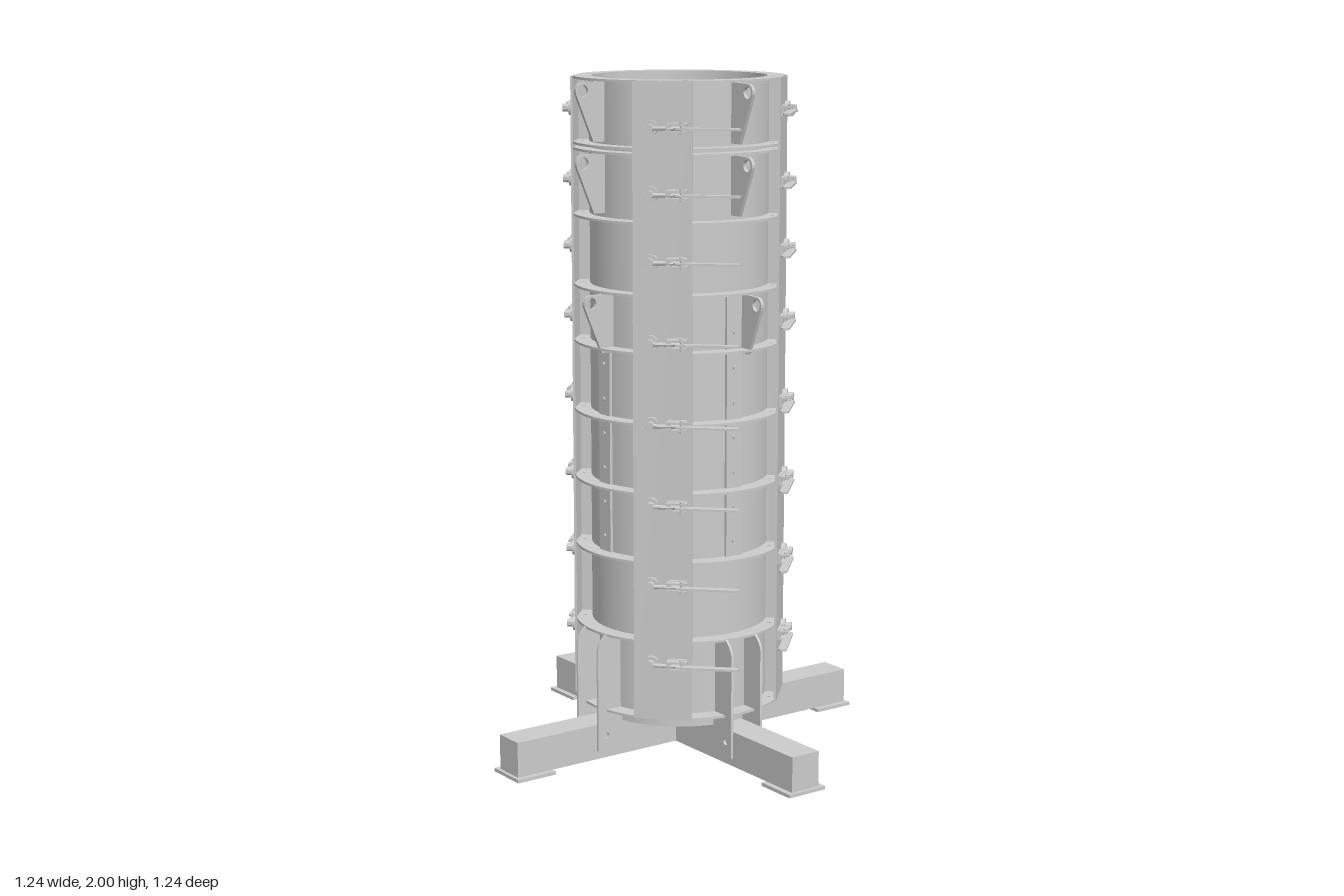
import * as THREE from 'three';
import { toCreasedNormals } from 'three/addons/utils/BufferGeometryUtils.js';

const grey = new THREE.MeshStandardMaterial({ color: 0xcccccc, side: THREE.DoubleSide });

function add(parent, name, geo, x = 0, y = 0, z = 0) {
  const m = new THREE.Mesh(geo, grey);
  m.name = name;
  m.position.set(x, y, z);
  parent.add(m);
  return m;
}
const box = (w, h, d) => new THREE.BoxGeometry(w, h, d);
const smooth = (g) => toCreasedNormals(g, 0.6);

// Upright plate drawn as (radius, height), standing along +z with thickness in x
function radialPlate(shape, t) {
  const g = new THREE.ExtrudeGeometry(shape, { depth: t, bevelEnabled: false, curveSegments: 10 });
  g.translate(0, 0, -t / 2).rotateY(-Math.PI / 2);
  return smooth(g);
}
function circleHole(shape, x, y, r) {
  const p = new THREE.Path();
  p.absarc(x, y, r, 0, Math.PI * 2, true);
  shape.holes.push(p);
}

// Stiffening ring, trimmed flat where the four corner plates sit
function ringGeometry(t) {
  const s = new THREE.Shape();
  const cut = 0.22;
  for (let k = 0; k < 4; k++) {
    const c = k * Math.PI / 2;
    s.absarc(0, 0, 0.31, c - Math.PI / 4 + cut, c + Math.PI / 4 - cut, false);
  }
  s.closePath();
  circleHole(s, 0, 0, 0.256);
  for (let k = 0; k < 4; k++) for (const d of [-0.21, 0.21]) {
    const a = Math.PI / 4 + k * Math.PI / 2 + d;
    circleHole(s, 0.284 * Math.cos(a), 0.284 * Math.sin(a), 0.006);
  }
  const g = new THREE.ExtrudeGeometry(s, { depth: t, bevelEnabled: false, curveSegments: 16 });
  return smooth(g.rotateX(Math.PI / 2));
}

// Lifting ear, measured down from its top ring
function earGeometry() {
  const s = new THREE.Shape();
  s.moveTo(0.256, -0.18);
  s.lineTo(0.3, -0.18);
  s.lineTo(0.357, -0.046);
  s.absarc(0.335, -0.035, 0.024, -0.46, Math.PI / 2, false);
  s.lineTo(0.256, -0.008);
  s.closePath();
  circleHole(s, 0.335, -0.035, 0.017);
  return radialPlate(s, 0.01);
}

// Foot bracket with chamfered top and a bolt hole beside the beam
function bracketGeometry() {
  const s = new THREE.Shape();
  s.moveTo(0.25, 0.035);
  s.lineTo(0.335, 0.035);
  s.lineTo(0.335, 0.345);
  s.quadraticCurveTo(0.33, 0.37, 0.305, 0.388);
  s.lineTo(0.25, 0.388);
  s.closePath();
  circleHole(s, 0.308, 0.08, 0.01);
  return radialPlate(s, 0.008);
}

// Inner former: mitred at the centre, wider and taller at the wall
function formerGeometry() {
  const s = new THREE.Shape([[0, 0.006], [0.045, 0.052], [0.059, 0.248], [-0.059, 0.248], [-0.045, 0.052]]
    .map(([x, z]) => new THREE.Vector2(x, z)));
  const g = new THREE.ExtrudeGeometry(s, { depth: 1, bevelEnabled: false }).rotateX(Math.PI / 2);
  const p = g.attributes.position;
  for (let i = 0; i < p.count; i++) {
    const slope = 0.6 * (0.248 - p.getZ(i));
    p.setY(i, p.getY(i) > -0.5 ? 1.4 - slope : 0.62 + slope);
  }
  g.computeVertexNormals();
  return g;
}

// Toggle clamp: z points away from the corner plate, s picks the handle direction
function makeClamp(s) {
  const c = new THREE.Group();
  c.name = 'clamp';
  const disc = (r, h) => smooth(new THREE.CylinderGeometry(r, r, h, 16).rotateX(Math.PI / 2));
  add(c, 'clampBoss', disc(0.022, 0.014), -0.033 * s, 0, 0.311);
  add(c, 'clampPin', disc(0.012, 0.03), -0.033 * s, 0, 0.322);
  add(c, 'clampBase', box(0.055, 0.03, 0.01), 0.043 * s, 0, 0.309);
  add(c, 'clampCatch', box(0.014, 0.026, 0.028), 0.022 * s, 0, 0.322);
  for (const y of [-0.011, 0.011]) add(c, 'clampCheek', box(0.06, 0.005, 0.026), 0.045 * s, y, 0.325);
  const rod = new THREE.CylinderGeometry(0.006, 0.006, 0.1, 8).rotateZ(Math.PI / 2);
  add(c, 'clampRod', smooth(rod), 0.005 * s, 0, 0.331);
  const pivot = new THREE.CylinderGeometry(0.007, 0.007, 0.034, 10);
  add(c, 'clampPivot', smooth(pivot), 0.06 * s, 0, 0.33);
  // flat handle with rounded ends
  add(c, 'clampHandle', box(0.165, 0.006, 0.024), 0.132 * s, 0, 0.338);
  for (const t of [0.0495, 0.2145]) {
    add(c, 'handleEnd', smooth(new THREE.CylinderGeometry(0.012, 0.012, 0.006, 12)), t * s, 0, 0.338);
  }
  return c;
}

export function createModel() {
  const model = new THREE.Group();
  model.name = 'columnMould';

  // Tube wall and closed bottom
  const wall = [[0.254, 0.15], [0.262, 0.15], [0.262, 2], [0.254, 2], [0.254, 0.15]]
    .map(([r, y]) => new THREE.Vector2(r, y));
  add(model, 'tubeWall', smooth(new THREE.LatheGeometry(wall, 64)));
  add(model, 'bottomDisc', smooth(new THREE.CylinderGeometry(0.25, 0.25, 0.04, 64)), 0, 0.135, 0);

  // Stiffening rings
  const ring = ringGeometry(0.007);
  for (const y of [2, 1.813, 1.797, 1.605, 1.4, 1.235, 1.03, 0.828, 0.625, 0.39, 0.16]) {
    add(model, 'stiffeningRing', ring, 0, y, 0);
  }

  // Crossed base beams
  add(model, 'baseBeam', box(1.22, 0.105, 0.096), 0, 0.0625, 0);
  for (const s of [-1, 1]) add(model, 'baseBeam', box(0.096, 0.105, 0.562), 0, 0.0625, 0.329 * s);

  // Four equal sides
  const ear = earGeometry(), bracket = bracketGeometry(), former = formerGeometry();
  const bolt = smooth(new THREE.CylinderGeometry(0.006, 0.006, 0.006, 10).rotateX(Math.PI / 2));
  for (let k = 0; k < 4; k++) {
    const side = new THREE.Group();
    side.name = 'side';
    side.rotation.y = k * Math.PI / 2;
    model.add(side);
    add(side, 'footPad', box(0.13, 0.01, 0.13), 0, 0.005, 0.555);
    for (const s of [-1, 1]) add(side, 'footBracket', bracket, 0.053 * s, 0, 0);
    add(side, 'liftingEar', ear, -0.005, 2, 0);
    add(side, 'liftingEar', ear, -0.005, 1.797, 0);
    add(side, 'liftingEar', ear, 0.03, 1.4, 0);
    add(side, 'innerFormer', former);
    add(side, 'boltStrip', box(0.055, 0.775, 0.012), 0, 1.0125, 0.263);
    for (let i = 0; i < 7; i++) add(side, 'stripBolt', bolt, 0, 0.67 + i * 0.102, 0.271);
  }

  // Corner plates, their joint flanges and clamps
  const heights = {
    '-1': [1.905, 1.7, 1.505, 1.3, 1.06, 0.825, 0.59, 0.355],
    '1': [1.87, 1.685, 1.495, 1.265, 1.03, 0.795, 0.56, 0.325],
  };
  for (let k = 0; k < 4; k++) {
    const s = k % 2 ? -1 : 1;
    const corner = new THREE.Group();
    corner.name = 'corner';
    corner.rotation.y = Math.PI / 4 + k * Math.PI / 2;
    model.add(corner);
    add(corner, 'cornerPlate', box(0.17, 1.843, 0.007), 0, 1.0765, 0.301);
    add(corner, 'jointFlange', box(0.012, 1.84, 0.04), 0, 1.076, 0.28);
    for (const y of heights[s]) {
      const clamp = makeClamp(s);
      clamp.position.y = y;
      corner.add(clamp);
    }
  }
  return model;
}
